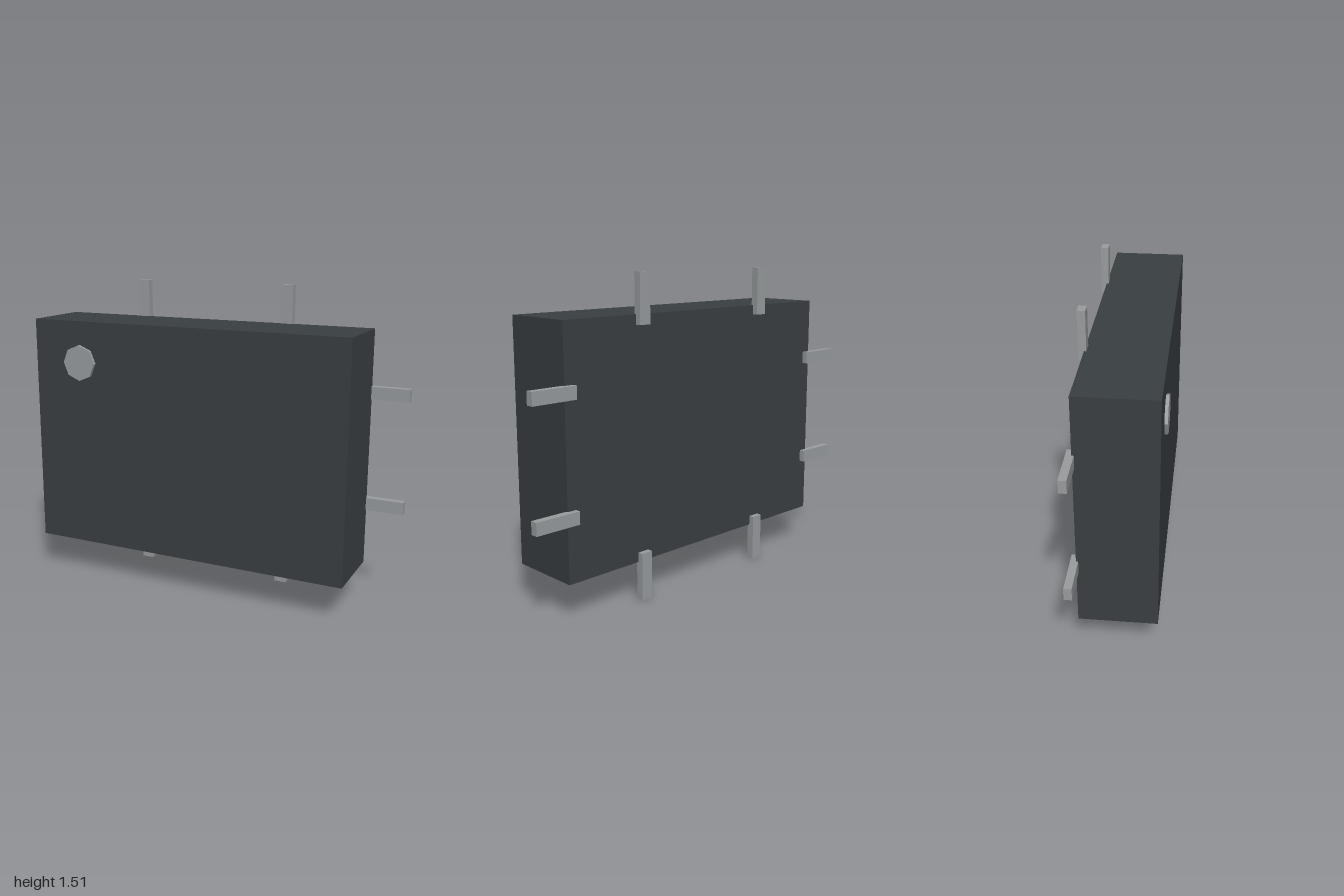
import * as THREE from 'three';

export function createModel() {
  const model = new THREE.Group();
  model.name = 'chipPackage';

  const bodyMat = new THREE.MeshStandardMaterial({ color: 0x3a3f42 });
  bodyMat.name = 'dark plastic';
  const metalMat = new THREE.MeshStandardMaterial({ color: 0x999d9f });
  metalMat.name = 'light grey metal';

  const add = (name, geometry, material, x, y, z) => {
    const mesh = new THREE.Mesh(geometry, material);
    mesh.name = name;
    mesh.position.set(x, y, z);
    model.add(mesh);
    return mesh;
  };

  // Main slab
  const midY = 0.757;
  add('body', new THREE.BoxGeometry(1.64, 1.146, 0.36), bodyMat, 0, midY, 0.005);

  // Contact pins, two on each edge, overlapping the rear face
  const sidePin = new THREE.BoxGeometry(0.226, 0.06, 0.036);
  const endPin = new THREE.BoxGeometry(0.06, 0.23, 0.036);
  for (const a of [-1, 1]) {
    for (const b of [-1, 1]) {
      add('sidePin', sidePin, metalMat, a * 0.887, midY + b * 0.272, -0.183);
      add('endPin', endPin, metalMat, a * 0.39, midY + b * 0.642, -0.183);
    }
  }

  // Octagonal orientation marker on the front
  const disc = new THREE.CylinderGeometry(0.089, 0.089, 0.015, 8).toNonIndexed();
  disc.computeVertexNormals();
  disc.rotateX(Math.PI / 2);
  add('markerDisc', disc, metalMat, -0.56, 1.124, 0.1935);

  return model;
}
